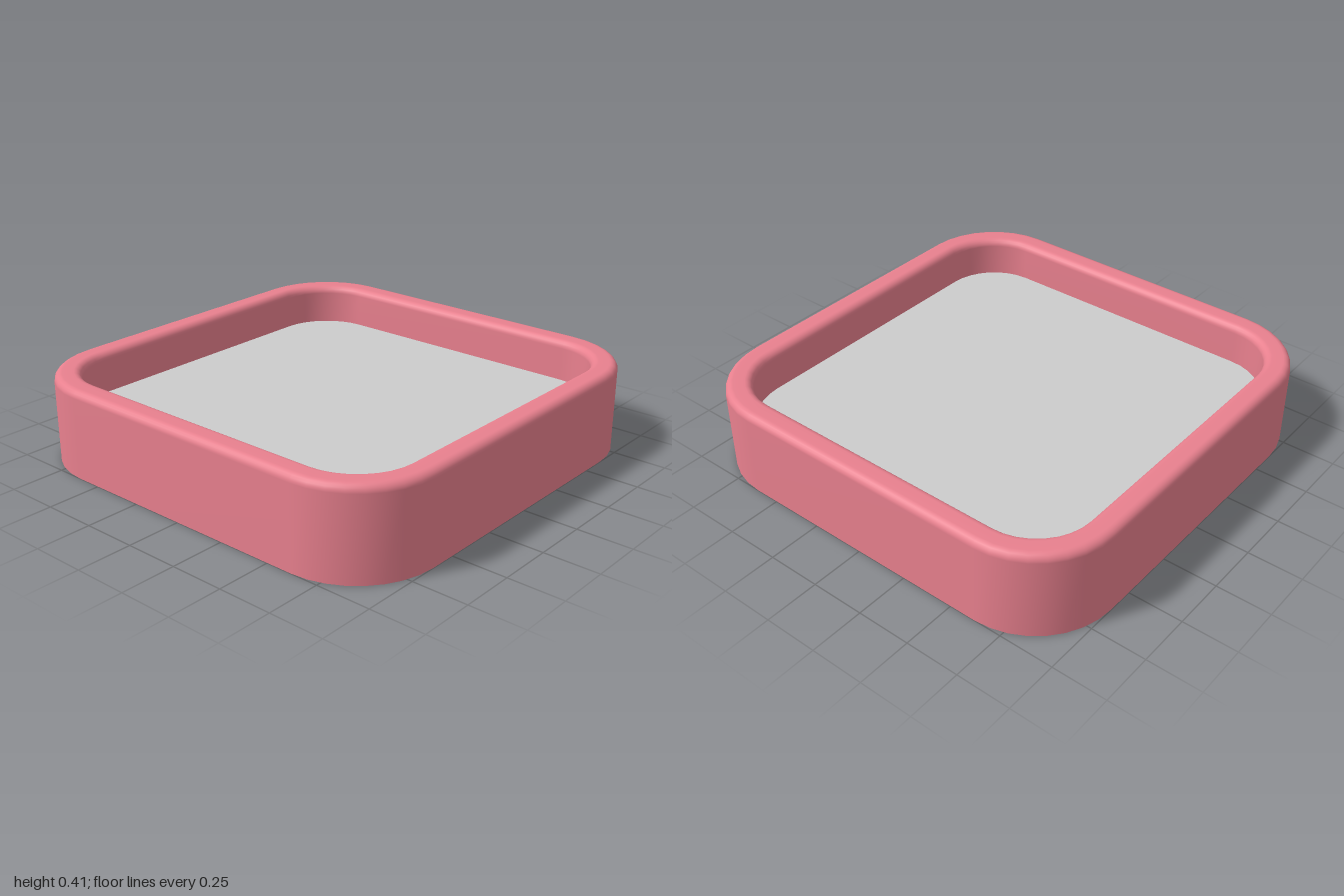
import * as THREE from 'three';

const CORNER = 0.62; // centre of every rounded corner
const SEGMENTS = 8; // facets per corner
const HEIGHT = 0.41, OUTER = 1, INNER = 0.88, FLOOR_Y = 0.22, EDGE = 0.035;

// Rounded-square outline whose sides lie at +-half
function outline(half) {
  const r = half - CORNER, points = [];
  for (let q = 0; q < 4; q++) {
    const mid = (q + 0.5) * Math.PI / 2;
    const cx = Math.sign(Math.cos(mid)) * CORNER, cy = Math.sign(Math.sin(mid)) * CORNER;
    for (let i = 0; i <= SEGMENTS; i++) {
      const a = (q + i / SEGMENTS) * Math.PI / 2;
      points.push(new THREE.Vector2(cx + r * Math.cos(a), cy + r * Math.sin(a)));
    }
  }
  return points;
}

// Wall section [half width, height]: outside, softened rim, inside
function wallProfile() {
  const profile = [[OUTER, 0]], steps = 5;
  for (const [centre, start] of [[OUTER - EDGE, 0], [INNER + EDGE, Math.PI / 2]]) {
    for (let i = 0; i <= steps; i++) {
      const a = start + (i / steps) * Math.PI / 2;
      profile.push([centre + EDGE * Math.cos(a), HEIGHT - EDGE + EDGE * Math.sin(a)]);
    }
  }
  profile.push([INNER, FLOOR_Y]);
  return profile;
}

// Sweep the wall section around the outline
function wallGeometry() {
  const positions = [], indices = [];
  const rings = wallProfile().map(([half, y]) => ({ points: outline(half), y }));
  const n = rings[0].points.length;
  rings.forEach(({ points, y }, j) => {
    points.forEach((p, i) => {
      positions.push(p.x, y, p.y);
      if (j === rings.length - 1) return;
      const a = j * n + i, c = j * n + (i + 1) % n;
      indices.push(a, a + n, c, c, a + n, c + n);
    });
  });
  const geometry = new THREE.BufferGeometry();
  geometry.setAttribute('position', new THREE.Float32BufferAttribute(positions, 3));
  geometry.setIndex(indices);
  geometry.computeVertexNormals();
  return geometry;
}

export function createModel() {
  const model = new THREE.Group();
  model.name = 'tray';

  // Hollow wall, open underneath
  const wall = new THREE.Mesh(
    wallGeometry(),
    new THREE.MeshStandardMaterial({ color: 0xe8808e, side: THREE.DoubleSide })
  );
  wall.name = 'wall';

  // Raised flat floor filling the inside of the wall
  const floor = new THREE.Mesh(
    new THREE.ShapeGeometry(new THREE.Shape(outline(INNER))).rotateX(-Math.PI / 2),
    new THREE.MeshStandardMaterial({ color: 0xcccccc, side: THREE.DoubleSide })
  );
  floor.name = 'floor';
  floor.position.y = FLOOR_Y;

  model.add(wall, floor);
  return model;
}
